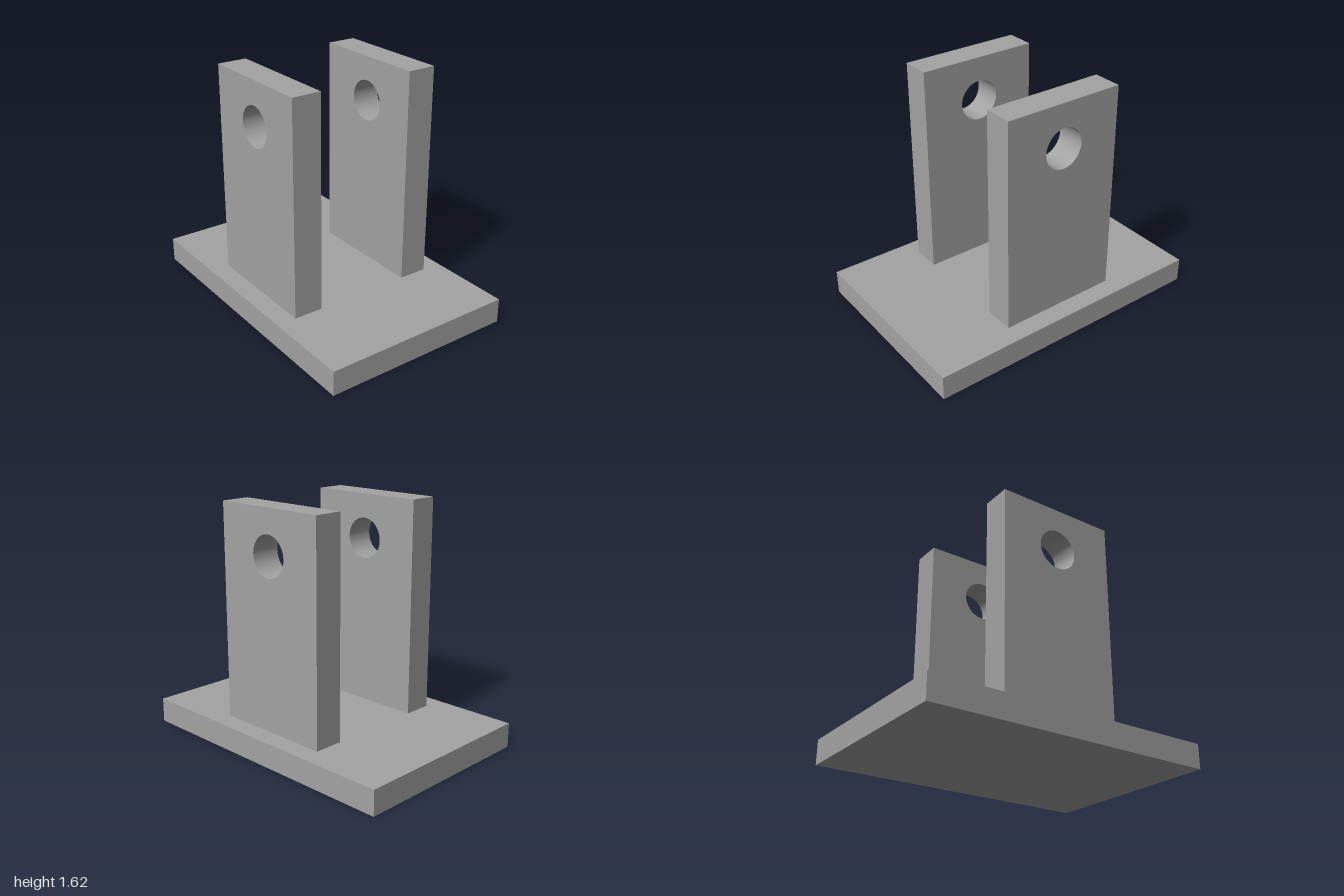
import * as THREE from 'three';
import { toCreasedNormals } from 'three/addons/utils/BufferGeometryUtils.js';

const BASE = { width: 1.333, height: 0.167, depth: 2 };
const LUG = { inner: 0.333, thickness: 0.2, halfDepth: 0.416, top: 1.617 };
const HOLE = { y: 1.317, radius: 0.137 };

// Upright plate with a round pin hole, extruded along x
function lugGeometry() {
  const { halfDepth: d, top, thickness } = LUG;
  const shape = new THREE.Shape();
  shape.moveTo(-d, BASE.height);
  shape.lineTo(d, BASE.height);
  shape.lineTo(d, top);
  shape.lineTo(-d, top);
  shape.closePath();

  const hole = new THREE.Path();
  hole.absarc(0, HOLE.y, HOLE.radius, 0, Math.PI * 2, true);
  shape.holes.push(hole);

  const geometry = new THREE.ExtrudeGeometry(shape, {
    depth: thickness, bevelEnabled: false, curveSegments: 48,
  });
  geometry.translate(0, 0, -thickness / 2);
  geometry.rotateY(Math.PI / 2);
  return toCreasedNormals(geometry, Math.PI / 6);
}

export function createModel() {
  const model = new THREE.Group();
  model.name = 'clevisBracket';

  const grey = new THREE.MeshStandardMaterial({ color: 0xa3a3a3 });
  grey.name = 'grey';

  // Rectangular base plate
  const base = new THREE.Mesh(
    new THREE.BoxGeometry(BASE.width, BASE.height, BASE.depth), grey);
  base.name = 'basePlate';
  base.position.y = BASE.height / 2;
  model.add(base);

  // Pair of matching lugs
  const geometry = lugGeometry();
  for (const [name, side] of [['leftLug', 1], ['rightLug', -1]]) {
    const lug = new THREE.Mesh(geometry, grey);
    lug.name = name;
    lug.position.x = side * (LUG.inner + LUG.thickness / 2);
    model.add(lug);
  }

  return model;
}
